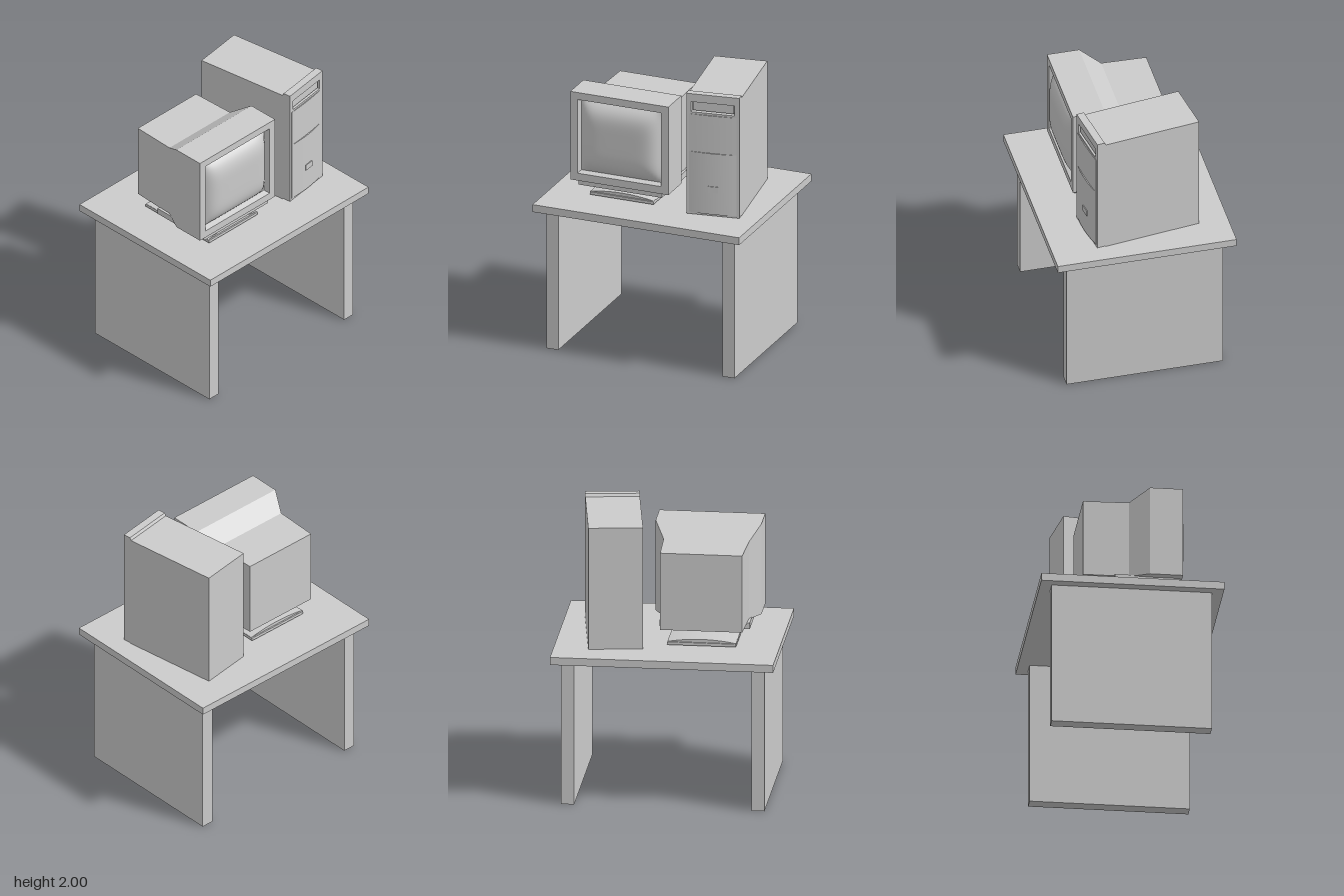
import * as THREE from 'three';
import { toCreasedNormals } from 'three/addons/utils/BufferGeometryUtils.js';

const grey = new THREE.MeshStandardMaterial({ color: 0xcccccc });
const DESK_Y = 1.095;

function add(parent, name, geometry, x = 0, y = 0, z = 0) {
  const mesh = new THREE.Mesh(geometry, grey);
  mesh.name = name;
  mesh.position.set(x, y, z);
  parent.add(mesh);
  return mesh;
}

// Box given by its limits on each axis
function box(parent, name, x0, x1, y0, y1, z0, z1) {
  return add(parent, name, new THREE.BoxGeometry(x1 - x0, y1 - y0, z1 - z0),
    (x0 + x1) / 2, (y0 + y1) / 2, (z0 + z1) / 2);
}

// Flat-sided skin through rectangles [z, x0, x1, y0, y1], listed from back to front
function loft(rects, capFront) {
  const rings = rects.map(([z, x0, x1, y0, y1]) =>
    [[x0, y0, z], [x1, y0, z], [x1, y1, z], [x0, y1, z]]);
  const pos = [];
  const quad = (a, b, c, d) => pos.push(...a, ...b, ...c, ...a, ...c, ...d);
  const first = rings[0], last = rings[rings.length - 1];
  quad(first[0], first[3], first[2], first[1]);
  for (let i = 0; i < rings.length - 1; i++) {
    for (let j = 0; j < 4; j++) {
      const k = (j + 1) % 4;
      quad(rings[i][j], rings[i][k], rings[i + 1][k], rings[i + 1][j]);
    }
  }
  if (capFront) quad(...last);
  const g = new THREE.BufferGeometry();
  g.setAttribute('position', new THREE.Float32BufferAttribute(pos, 3));
  g.computeVertexNormals();
  return g;
}

// Shallow arched slab: flat back, front bowed by the given rise, extruded along +z
function archGeometry(halfWidth, edge, rise, depth) {
  const s = new THREE.Shape();
  s.moveTo(-halfWidth, 0);
  s.lineTo(halfWidth, 0);
  s.lineTo(halfWidth, edge);
  s.quadraticCurveTo(0, edge + 2 * rise, -halfWidth, edge);
  s.closePath();
  const g = new THREE.ExtrudeGeometry(s, { depth, bevelEnabled: false, curveSegments: 16 });
  return toCreasedNormals(g, 0.4);
}

function createDesk() {
  const desk = new THREE.Group();
  desk.name = 'desk';
  box(desk, 'deskTop', -0.78, 0.78, 1.04, DESK_Y, -0.64, 0.64);
  for (const side of [-1, 1]) {
    const leg = box(desk, side > 0 ? 'leftLegPanel' : 'rightLegPanel', -0.045, 0.045, 0, 1.04, -0.56, 0.56);
    leg.position.x = side * 0.665;
  }
  return desk;
}

function createMonitor() {
  const monitor = new THREE.Group();
  monitor.name = 'monitor';
  monitor.position.x = -0.24;

  // Housing, front rim and the recess around the screen
  add(monitor, 'monitorHousing', loft([
    [-0.32, -0.287, 0.287, 1.22, 1.78],
    [0, -0.298, 0.298, 1.215, 1.78],
    [0.14, -0.37, 0.37, 1.21, 1.87],
    [0.37, -0.37, 0.37, 1.21, 1.87],
    [0.37, -0.316, 0.316, 1.265, 1.817],
    [0.33, -0.302, 0.302, 1.279, 1.803],
  ], false));

  // Bulging glass
  const w = 0.604, h = 0.524;
  const glass = new THREE.PlaneGeometry(w, h, 32, 32);
  const p = glass.attributes.position;
  for (let i = 0; i < p.count; i++) {
    const u = Math.abs(p.getX(i)) / (w / 2), v = Math.abs(p.getY(i)) / (h / 2);
    p.setZ(i, 0.068 * (1 - u ** 7) * (1 - v ** 5));
  }
  glass.computeVertexNormals();
  add(monitor, 'screen', glass, 0, 1.541, 0.33);

  // Chin, swivel neck and domed foot
  box(monitor, 'monitorChin', -0.315, 0.315, 1.175, 1.22, -0.1, 0.355);
  const neck = new THREE.CylinderGeometry(Math.SQRT1_2, 0.43, 0.035, 4).toNonIndexed();
  neck.rotateY(Math.PI / 4);
  neck.scale(0.27, 1, 0.34);
  neck.computeVertexNormals();
  add(monitor, 'swivelNeck', neck, 0, 1.159, 0.05);
  box(monitor, 'footPlate', -0.24, 0.24, DESK_Y + 0.008, 1.124, -0.29, 0.33);
  add(monitor, 'footDome', archGeometry(0.238, 0.002, 0.022, 0.6), 0, 1.123, -0.28);
  return monitor;
}

function createTower() {
  const tower = new THREE.Group();
  tower.name = 'computerTower';
  tower.position.set(0.4025, 0, -0.027);
  tower.rotation.y = 0.145;

  // Case, stepping up to the taller front panel
  add(tower, 'towerCase', loft([
    [-0.382, -0.19, 0.19, DESK_Y, 1.98],
    [0.317, -0.19, 0.19, DESK_Y, 1.98],
    [0.327, -0.19, 0.19, DESK_Y + 0.005, 2],
    [0.345, -0.19, 0.19, DESK_Y + 0.005, 2],
  ], true));

  // Front panel with the drive slot cut out
  const shape = new THREE.Shape();
  shape.moveTo(-0.19, 1.1);
  shape.lineTo(0.19, 1.1);
  shape.lineTo(0.19, 2);
  shape.lineTo(-0.19, 2);
  shape.closePath();
  const slot = new THREE.Path();
  slot.moveTo(-0.155, 1.865);
  slot.lineTo(-0.155, 1.94);
  slot.lineTo(0.155, 1.94);
  slot.lineTo(0.155, 1.865);
  slot.closePath();
  shape.holes.push(slot);
  add(tower, 'towerFrontPanel',
    new THREE.ExtrudeGeometry(shape, { depth: 0.037, bevelEnabled: false }), 0, 0, 0.345);
  box(tower, 'driveDoor', -0.145, 0.145, 1.875, 1.94, 0.34, 0.372);

  // Bowed upper and lower covers
  for (const [name, top, height, rise] of [
    ['upperCover', 1.85, 0.28, 0.006],
    ['lowerCover', 1.57, 0.455, 0.014],
  ]) {
    const g = archGeometry(0.17, 0.002, rise, height);
    g.rotateX(Math.PI / 2);
    add(tower, name, g, 0, top, 0.381);
  }
  box(tower, 'powerButton', -0.03, 0.042, 1.28, 1.325, 0.385, 0.403);
  return tower;
}

export function createModel() {
  const model = new THREE.Group();
  model.name = 'computerDesk';
  model.add(createDesk(), createMonitor(), createTower());
  return model;
}
